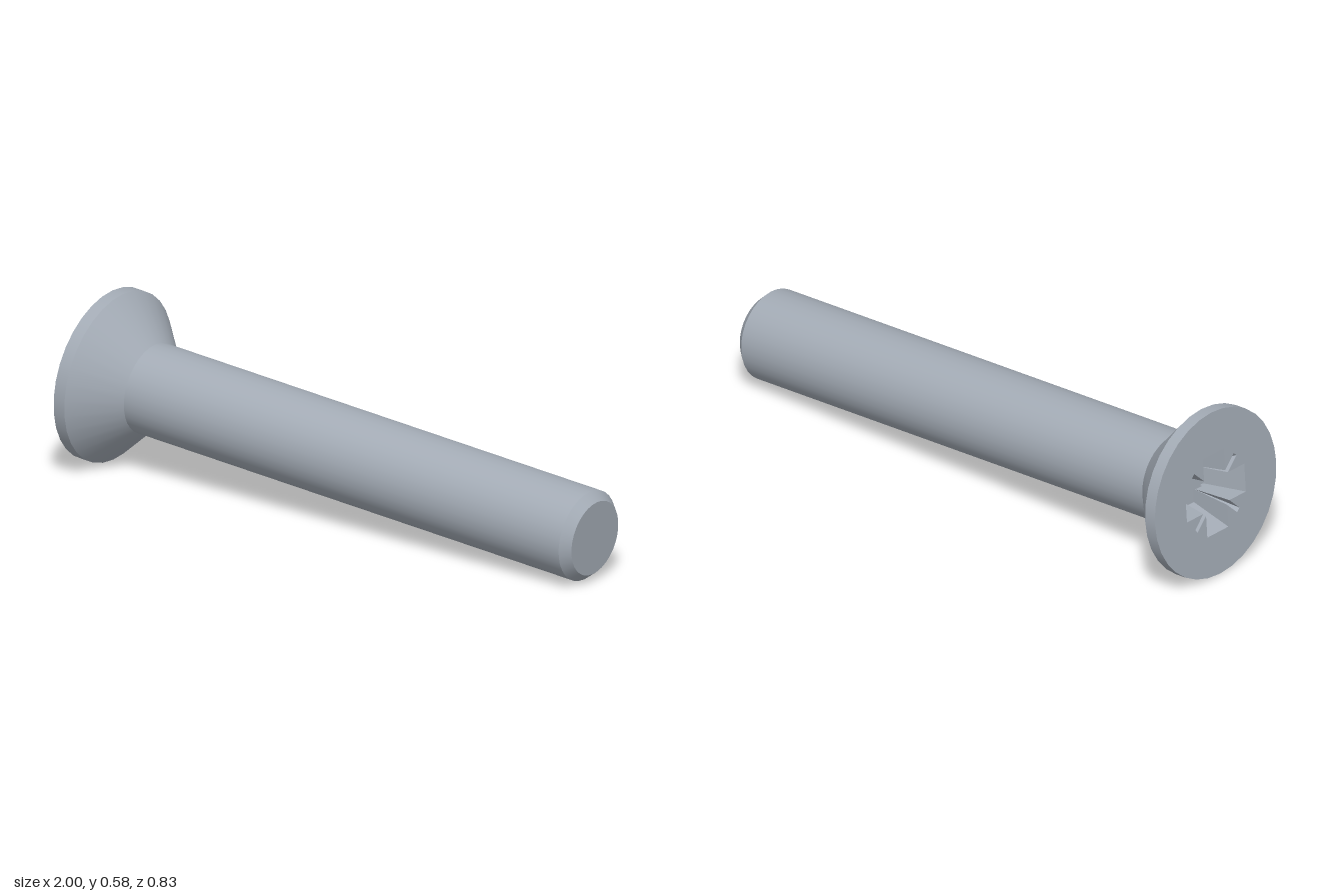
import * as THREE from 'three';

const HEAD_R = 0.288, SHAFT_R = 0.152, TIP_R = 0.125;
const RIM = 0.043, NECK = 0.18, LENGTH = 1.96, CHAMFER = 0.031;
const RECESS_DEPTH = 0.14, SEGMENTS = 32;

// Cross outline: arm reach a, arm half-width w, diagonal slit of width d reaching to t
function crossOutline(a, w, d, t) {
  const quadrant = [
    [a, -w], [a, w], [w + d, w],
    [t + d / 2, t - d / 2], [t - d / 2, t + d / 2], [w, w + d],
  ];
  const points = [];
  for (let q = 0; q < 4; q++) {
    for (const [x, y] of quadrant) {
      points.push(new THREE.Vector2(x, y).rotateAround(new THREE.Vector2(), q * Math.PI / 2));
    }
  }
  return points;
}

// Flat-shaded inward-facing walls between two outlines
function recessWalls(top, bottom, depth) {
  const pos = [];
  const n = top.length;
  for (let i = 0; i < n; i++) {
    const j = (i + 1) % n;
    const ti = [top[i].x, top[i].y, 0], tj = [top[j].x, top[j].y, 0];
    const bi = [bottom[i].x, bottom[i].y, -depth], bj = [bottom[j].x, bottom[j].y, -depth];
    pos.push(...ti, ...tj, ...bi, ...tj, ...bj, ...bi);
  }
  const g = new THREE.BufferGeometry();
  g.setAttribute('position', new THREE.Float32BufferAttribute(pos, 3));
  g.computeVertexNormals();
  return g;
}

export function createModel() {
  const model = new THREE.Group();
  const steel = new THREE.MeshStandardMaterial({ color: 0xa3abb5 });
  steel.name = 'steel';

  // The screw is built along +y, from the head face (y = 0) to the tip, then tilted
  const screw = new THREE.Group();
  screw.name = 'screw';
  model.add(screw);
  const add = (name, geometry) => {
    const mesh = new THREE.Mesh(geometry, steel);
    mesh.name = name;
    screw.add(mesh);
  };

  // Turned surfaces: each band keeps its own smooth normals so the edges stay sharp
  const bands = [
    ['headRim', 0, RIM, HEAD_R, HEAD_R],
    ['countersink', RIM, NECK, HEAD_R, SHAFT_R],
    ['shaft', NECK, LENGTH - CHAMFER, SHAFT_R, SHAFT_R],
    ['tipChamfer', LENGTH - CHAMFER, LENGTH, SHAFT_R, TIP_R],
  ];
  for (const [name, y0, y1, r0, r1] of bands) {
    add(name, new THREE.CylinderGeometry(r1, r0, y1 - y0, SEGMENTS, 1, true)
      .translate(0, (y0 + y1) / 2, 0));
  }
  add('tipFace', new THREE.CircleGeometry(TIP_R, SEGMENTS).rotateX(-Math.PI / 2).translate(0, LENGTH, 0));

  // Head face with the cross-shaped drive opening
  const top = crossOutline(0.14, 0.05, 0.012, 0.1);
  const bottom = crossOutline(0.09, 0.042, 0, 0.042);
  const rim = [];
  for (let i = 0; i < SEGMENTS; i++) {
    const a = i / SEGMENTS * Math.PI * 2;
    rim.push(new THREE.Vector2(HEAD_R * Math.cos(a), HEAD_R * Math.sin(a)));
  }
  const face = new THREE.Shape(rim);
  face.holes.push(new THREE.Path(top));
  add('headFace', new THREE.ShapeGeometry(face).rotateX(Math.PI / 2));

  // Tapered drive recess
  add('driveWalls', recessWalls(top, bottom, RECESS_DEPTH).rotateX(Math.PI / 2));
  const floor = new THREE.Shape(bottom.filter((p, i) => i % 6 < 3));
  add('driveFloor', new THREE.ShapeGeometry(floor).translate(0, 0, -RECESS_DEPTH).rotateX(Math.PI / 2));

  // Tilt the axis, keeping one arm of the cross pointing up
  const axis = new THREE.Vector3(1.912, -0.137, 0.407).normalize();
  const up = new THREE.Vector3(0, 1, 0).addScaledVector(axis, -axis.y).normalize();
  const side = new THREE.Vector3().crossVectors(axis, up);
  screw.quaternion.setFromRotationMatrix(new THREE.Matrix4().makeBasis(side, axis, up));
  screw.position.set(-0.94, 0.29, -0.135);
  return model;
}
